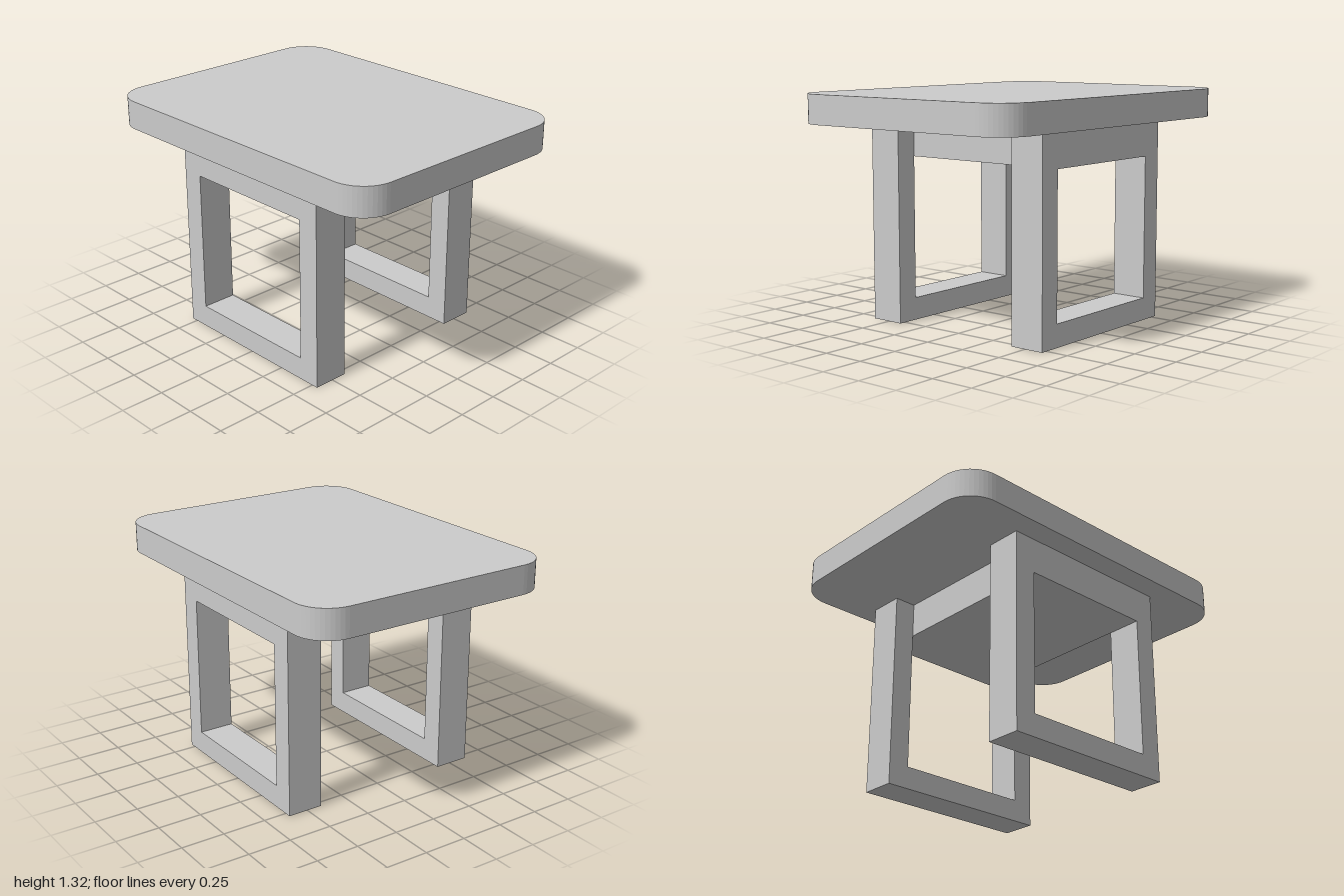
import * as THREE from 'three';

const material = new THREE.MeshStandardMaterial({ color: 0xcccccc, flatShading: true });

function add(group, name, geometry, x, y, z) {
  const mesh = new THREE.Mesh(geometry, material);
  mesh.name = name;
  mesh.position.set(x, y, z);
  group.add(mesh);
  return mesh;
}

// Rectangle with rounded corners, centred on the origin
function roundedRectangle(w, h, r) {
  const x = w / 2 - r, y = h / 2 - r;
  const shape = new THREE.Shape();
  shape.absarc(x, y, r, 0, Math.PI / 2);
  shape.absarc(-x, y, r, Math.PI / 2, Math.PI);
  shape.absarc(-x, -y, r, Math.PI, Math.PI * 1.5);
  shape.absarc(x, -y, r, Math.PI * 1.5, Math.PI * 2);
  shape.closePath();
  return shape;
}

function rectanglePath(PathType, x, y0, y1) {
  return new PathType([[-x, y0], [x, y0], [x, y1], [-x, y1]].map(([a, b]) => new THREE.Vector2(a, b)));
}

export function createModel() {
  const group = new THREE.Group();
  group.name = 'table';
  const legHeight = 1.155, topThickness = 0.165;
  const legDepth = 0.205, innerZ = 0.41;

  // Rounded slab top
  const topGeometry = new THREE.ExtrudeGeometry(roundedRectangle(2, 1.5, 0.19), {
    depth: topThickness, bevelEnabled: false, curveSegments: 6,
  });
  topGeometry.rotateX(-Math.PI / 2);
  add(group, 'tableTop', topGeometry, 0, legHeight, 0);

  // Open rectangular leg frames, front and back
  const frame = rectanglePath(THREE.Shape, 0.538, 0, legHeight);
  frame.holes.push(rectanglePath(THREE.Path, 0.41, 0.13, 0.95));
  const frameGeometry = new THREE.ExtrudeGeometry(frame, { depth: legDepth, bevelEnabled: false });
  add(group, 'frontLegFrame', frameGeometry, 0, 0, innerZ);
  add(group, 'backLegFrame', frameGeometry, 0, 0, -innerZ - legDepth);

  // Solid block under the top, joining the frames
  add(group, 'centreBlock', new THREE.BoxGeometry(0.82, legHeight - 0.95, innerZ * 2), 0, (legHeight + 0.95) / 2, 0);

  return group;
}
